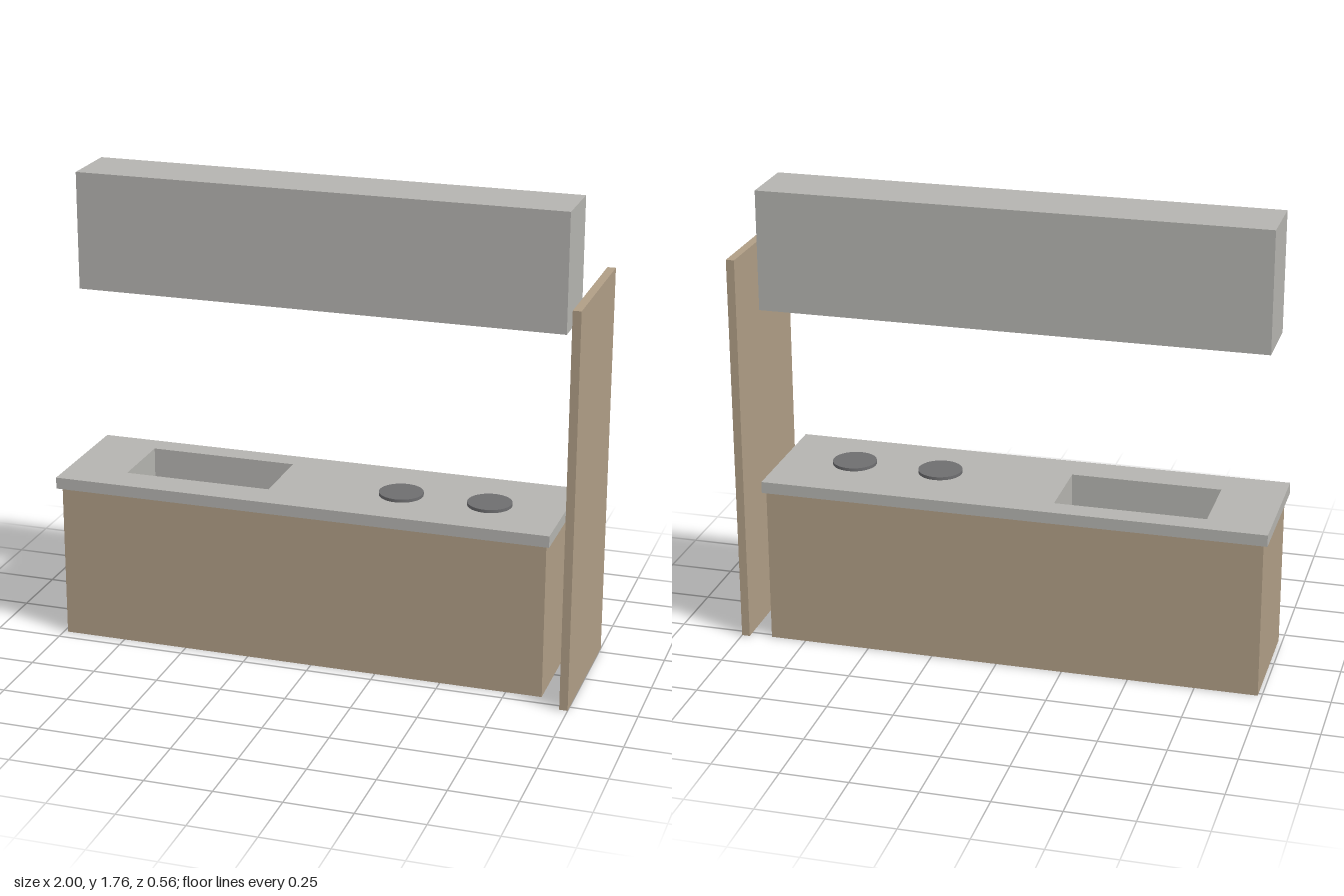
import * as THREE from 'three';

const material = (name, color) => Object.assign(new THREE.MeshStandardMaterial({ color }), { name });

export function createModel() {
  const wood = material('wood', 0xb09e86);
  const grey = material('stone grey', 0xb5b4b0);
  grey.side = THREE.DoubleSide; // the basin is an open shell
  const dark = material('burner grey', 0x6e6e70);

  const model = new THREE.Group();
  model.name = 'kitchenette';

  const add = (name, geometry, mat) => {
    const mesh = new THREE.Mesh(geometry, mat);
    mesh.name = name;
    model.add(mesh);
    return mesh;
  };

  // Box given by its limits on each axis
  const box = (x0, x1, y0, y1, z0, z1) =>
    new THREE.BoxGeometry(x1 - x0, y1 - y0, z1 - z0)
      .translate((x0 + x1) / 2, (y0 + y1) / 2, (z0 + z1) / 2);

  // Same box without its top face
  const openBox = (...limits) => {
    const geometry = box(...limits);
    const index = Array.from(geometry.index.array);
    index.splice(12, 6);
    geometry.setIndex(index);
    geometry.clearGroups();
    return geometry;
  };

  const rectangle = (Type, x0, x1, z0, z1) =>
    new Type([[x0, z0], [x1, z0], [x1, z1], [x0, z1]].map(([x, z]) => new THREE.Vector2(x, -z)));

  const counterY = 0.597, topY = 0.641;
  const sink = { x0: -0.765, x1: -0.199, z0: -0.188, z1: 0.092 };

  // Base cabinet, closed above by the worktop
  add('baseCabinet', openBox(-0.985, 0.885, 0, counterY, -0.267, 0.2), wood);

  // Worktop with the sink cut-out
  const outline = rectangle(THREE.Shape, -1, 0.9, -0.275, 0.223);
  outline.holes.push(rectangle(THREE.Path, sink.x0, sink.x1, sink.z0, sink.z1));
  const worktop = new THREE.ExtrudeGeometry(outline, { depth: topY - counterY, bevelEnabled: false });
  worktop.rotateX(-Math.PI / 2).translate(0, counterY, 0);
  add('worktop', worktop, grey);

  // Basin below the cut-out
  add('sinkBasin', openBox(sink.x0, sink.x1, 0.507, counterY, sink.z0, sink.z1), grey);

  // Two hob plates
  for (const x of [0.285, 0.622]) {
    const height = 0.012;
    add('burner', new THREE.CylinderGeometry(0.083, 0.083, height, 40), dark)
      .position.set(x, topY + height / 2, -0.009);
  }

  // Wall cabinet and tall side panel
  add('wallCabinet', box(-0.985, 0.885, 1.314, 1.763, -0.267, -0.022), grey);
  add('sidePanel', box(0.969, 1, 0, 1.5, -0.282, 0.282), wood);

  return model;
}
